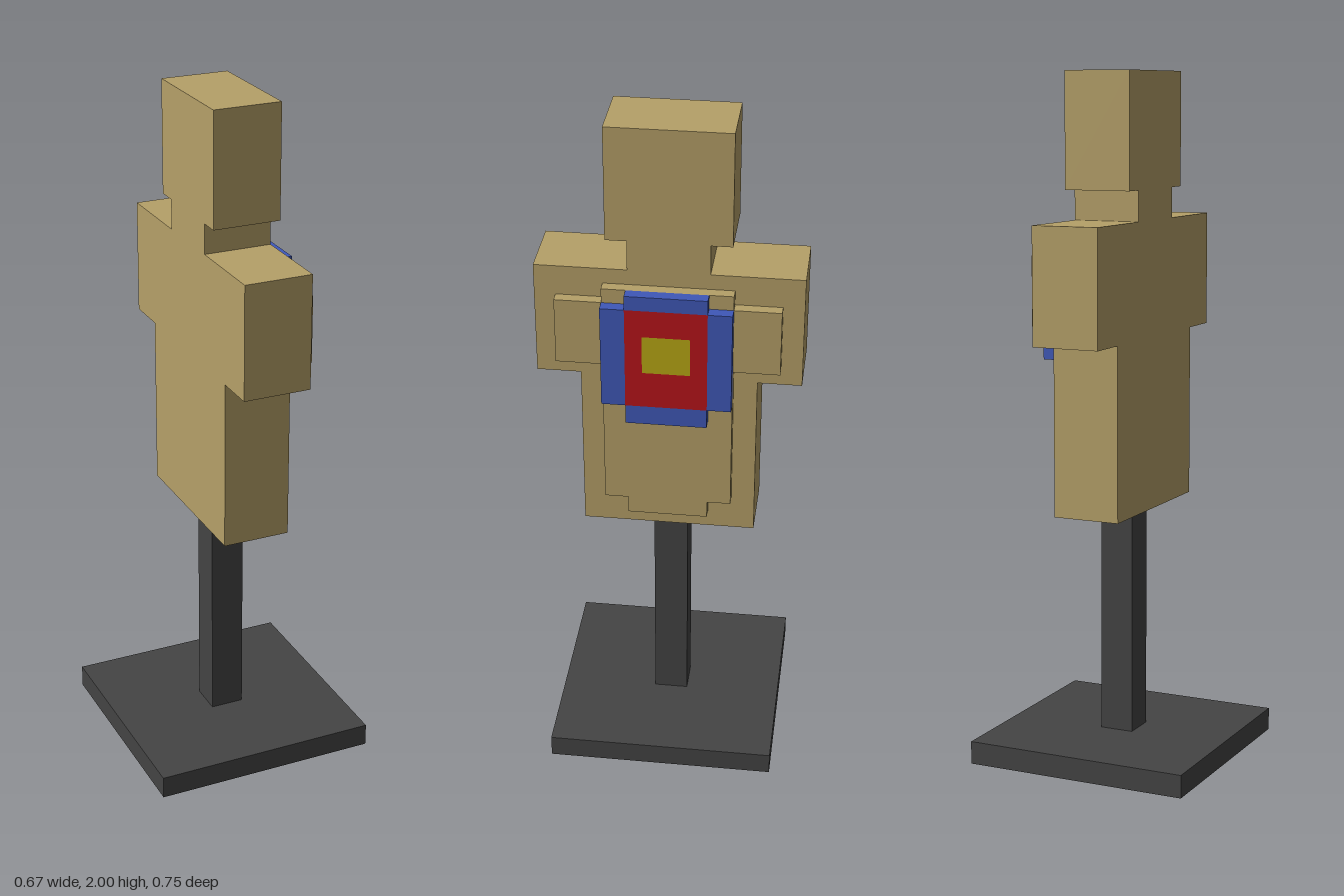
import * as THREE from 'three';

const mat = (color) => new THREE.MeshStandardMaterial({ color });

// Outline from right-hand [halfWidth, y] points, mirrored to the other side
function outline(half) {
  const left = half.map(([w, y]) => [-w, y]).reverse();
  return new THREE.Shape([...half, ...left].map(([w, y]) => new THREE.Vector2(w, y)));
}

// Slab with its outline in the z-y plane, running from x0 to x1
function slab(name, shape, x0, x1, material) {
  const geometry = new THREE.ExtrudeGeometry(shape, { depth: x1 - x0, bevelEnabled: false });
  geometry.rotateY(Math.PI / 2).translate(x0, 0, 0);
  const mesh = new THREE.Mesh(geometry, material);
  mesh.name = name;
  return mesh;
}

function box(name, [x0, x1], [y0, y1], [z0, z1], material) {
  const mesh = new THREE.Mesh(new THREE.BoxGeometry(x1 - x0, y1 - y0, z1 - z0), material);
  mesh.position.set((x0 + x1) / 2, (y0 + y1) / 2, (z0 + z1) / 2);
  mesh.name = name;
  return mesh;
}

export function createModel() {
  const model = new THREE.Group();
  model.name = 'practiceTarget';
  const straw = mat(0xb5a068), dark = mat(0x444444);
  const blue = mat(0x3f58b8), red = mat(0xb9141a), yellow = mat(0xb8a814);

  // Stand
  model.add(
    box('base', [-0.335, 0.335], [0, 0.067], [-0.335, 0.335], dark),
    box('post', [-0.05, 0.05], [0.067, 0.742], [-0.05, 0.05], dark),
  );

  // Body silhouette: torso, arm stubs, neck and head
  model.add(slab('body', outline([
    [0.25, 0.742], [0.25, 1.245], [0.375, 1.245], [0.375, 1.58], [0.115, 1.58],
    [0.115, 1.668], [0.175, 1.668], [0.175, 2],
  ]), -0.1, 0.1, straw));

  // Raised padding over the chest and arms
  model.add(slab('padding', outline([
    [0.115, 0.795], [0.115, 0.847], [0.183, 0.847], [0.183, 1.295], [0.315, 1.295],
    [0.315, 1.492], [0.183, 1.492], [0.183, 1.535],
  ]), 0.1, 0.133, straw));

  // Target: blue border strips, red field, yellow bullseye, all flush
  const depth = [0.133, 0.167], target = new THREE.Group();
  target.name = 'target';
  for (const side of [-1, 1]) {
    const z = [0.115 * side, 0.183 * side].sort((a, b) => a - b);
    target.add(box('blueSide', depth, [1.185, 1.492], z, blue));
  }
  for (const y of [[1.127, 1.185], [1.492, 1.535]]) {
    target.add(box('blueEnd', depth, y, [-0.115, 0.115], blue));
  }
  const field = outline([[0.115, 1.185], [0.115, 1.492]]);
  field.holes.push(outline([[0.067, 1.295], [0.067, 1.41]]));
  target.add(
    slab('redField', field, ...depth, red),
    box('bullseye', depth, [1.295, 1.41], [-0.067, 0.067], yellow),
  );
  model.add(target);
  return model;
}
